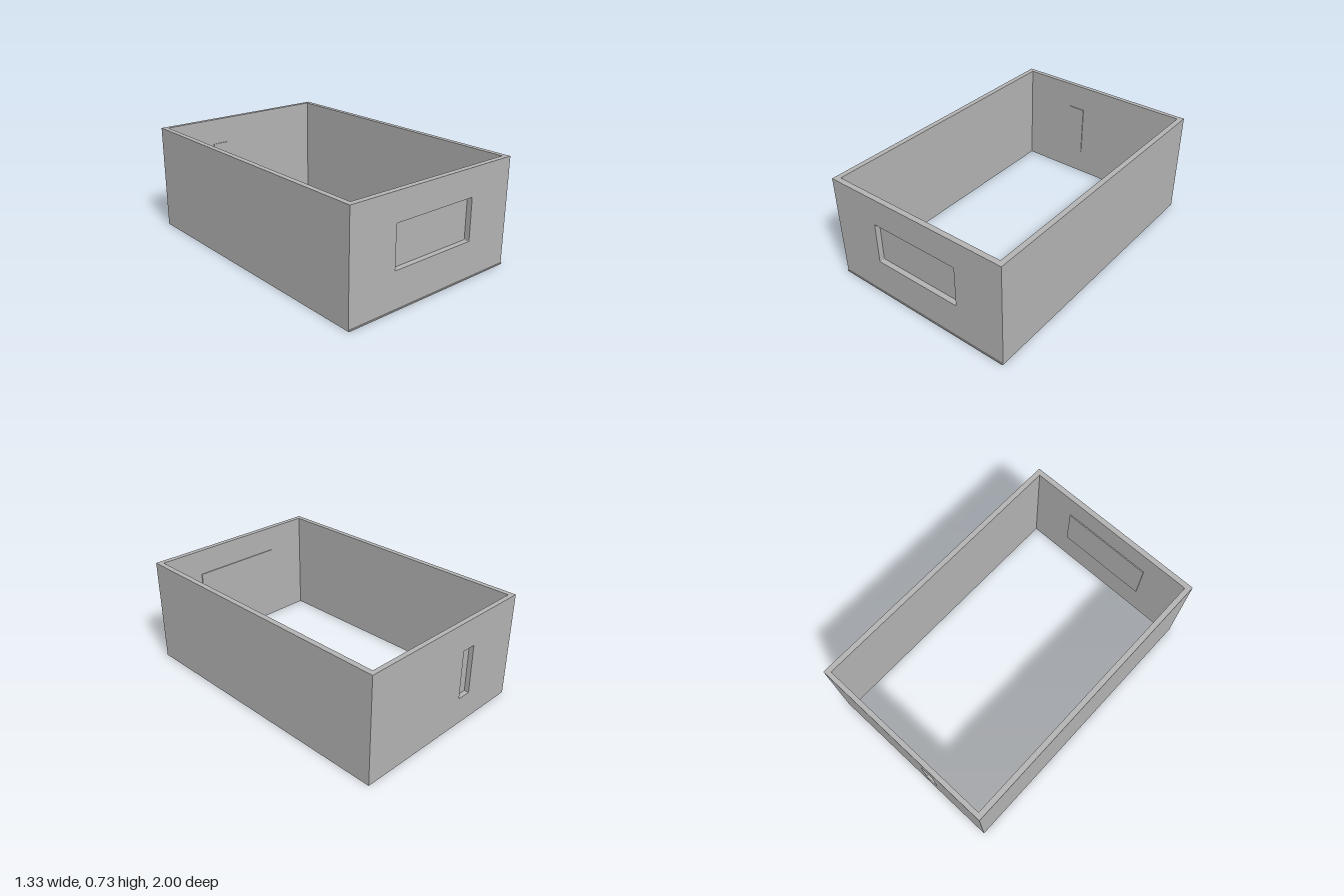
import * as THREE from 'three';

const HALF_W = 0.663, HEIGHT = 0.73, SIDE = 0.036;
const FRONT = 0.994, FRONT_IN = 0.957, BACK = -1, BACK_IN = -0.968;

// Rectangle outline with slightly rounded corners
function roundedRect(PathType, x0, y0, x1, y1, r) {
  const p = new PathType();
  p.moveTo(x0 + r, y0);
  p.lineTo(x1 - r, y0);
  p.quadraticCurveTo(x1, y0, x1, y0 + r);
  p.lineTo(x1, y1 - r);
  p.quadraticCurveTo(x1, y1, x1 - r, y1);
  p.lineTo(x0 + r, y1);
  p.quadraticCurveTo(x0, y1, x0, y1 - r);
  p.lineTo(x0, y0 + r);
  p.quadraticCurveTo(x0, y0, x0 + r, y0);
  return p;
}

export function createModel() {
  const group = new THREE.Group();
  const grey = new THREE.MeshStandardMaterial({ color: 0xb2b2b2 });
  grey.name = 'grey';

  const add = (name, geometry) => {
    const mesh = new THREE.Mesh(geometry, grey);
    mesh.name = name;
    group.add(mesh);
  };
  const box = (name, x0, x1, y0, y1, z0, z1) => {
    const g = new THREE.BoxGeometry(x1 - x0, y1 - y0, z1 - z0);
    g.translate((x0 + x1) / 2, (y0 + y1) / 2, (z0 + z1) / 2);
    add(name, g);
  };
  // End wall with one rectangular opening
  const endWall = (name, hole, z0, z1) => {
    const s = new THREE.Shape([
      new THREE.Vector2(-HALF_W, 0), new THREE.Vector2(HALF_W, 0),
      new THREE.Vector2(HALF_W, HEIGHT), new THREE.Vector2(-HALF_W, HEIGHT),
    ]);
    s.holes.push(roundedRect(THREE.Path, ...hole));
    const g = new THREE.ExtrudeGeometry(s, { depth: z1 - z0, bevelEnabled: false, curveSegments: 4 });
    g.translate(0, 0, z0);
    add(name, g);
  };

  // Four walls, open above and below
  endWall('frontWall', [-0.318, 0.254, 0.318, 0.54, 0.006], FRONT_IN, FRONT);
  endWall('backWall', [-0.25, 0.193, -0.15, 0.533, 0.002], BACK, BACK_IN);
  box('leftWall', HALF_W - SIDE, HALF_W, 0, HEIGHT, BACK_IN, FRONT_IN);
  box('rightWall', -HALF_W, -HALF_W + SIDE, 0, HEIGHT, BACK_IN, FRONT_IN);

  // Thin panels closing the openings from inside
  box('frontPanel', -0.328, 0.328, 0.243, 0.551, 0.95, FRONT_IN);
  box('backPanel', -0.264, -0.14, 0.181, 0.546, BACK_IN, -0.962);

  // Narrow lip along the lower front edge
  box('frontLip', -HALF_W, HALF_W, 0, 0.008, FRONT, 1);

  return group;
}
